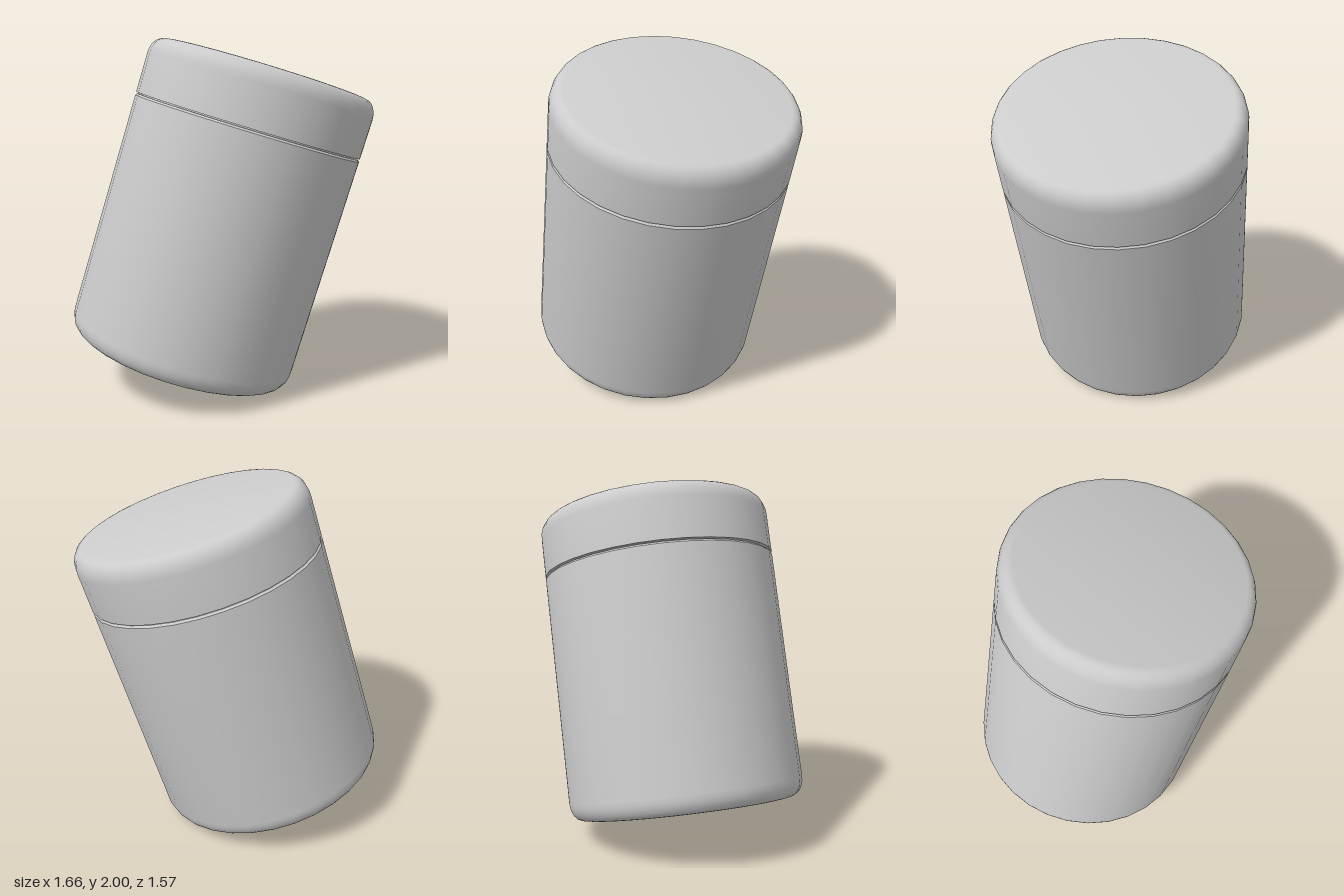
import * as THREE from 'three';
import { toCreasedNormals } from 'three/addons/utils/BufferGeometryUtils.js';

const SIDES = 32;
const RADIUS = 0.667;
const HALF = 0.862; // half height along the axis
const SEAM = 0.535; // where the lid meets the body

// Quarter-round edge from the side wall to a flat end, listed from wall to end
function roundedEdge(sign, steps = 6) {
  const rx = 0.07, ry = 0.1;
  return Array.from({ length: steps + 1 }, (_, i) => {
    const a = (i / steps) * Math.PI / 2;
    return [RADIUS - rx + rx * Math.cos(a), sign * (HALF - ry + ry * Math.sin(a))];
  });
}

function turned(name, profile, material) {
  const points = profile.map(([x, y]) => new THREE.Vector2(x, y));
  const geometry = toCreasedNormals(new THREE.LatheGeometry(points, SIDES), 0.6);
  const mesh = new THREE.Mesh(geometry, material);
  mesh.name = name;
  return mesh;
}

export function createModel() {
  const material = new THREE.MeshStandardMaterial({ color: 0xcccccc });
  const canister = new THREE.Group();
  canister.name = 'canister';

  // Body: flat base, rounded lower edge, bevelled rim and a neck under the lid
  canister.add(turned('body', [
    [0, -HALF],
    ...roundedEdge(-1).reverse(),
    [RADIUS, SEAM - 0.018],
    [RADIUS - 0.01, SEAM - 0.007],
    [RADIUS - 0.03, SEAM - 0.007],
    [RADIUS - 0.03, SEAM + 0.02],
    [0, SEAM + 0.02],
  ], material));

  // Lid: open underside lip, straight wall, rounded upper edge and flat top
  canister.add(turned('lid', [
    [RADIUS - 0.03, SEAM],
    [RADIUS, SEAM],
    ...roundedEdge(1),
    [0, HALF],
  ], material));

  // The whole canister leans to its left and forward
  canister.quaternion.setFromUnitVectors(
    new THREE.Vector3(0, 1, 0),
    new THREE.Vector3(0.247, 1, 0.173).normalize()
  );
  canister.position.y = 1;

  const model = new THREE.Group();
  model.name = 'leaningCanister';
  model.add(canister);
  return model;
}
